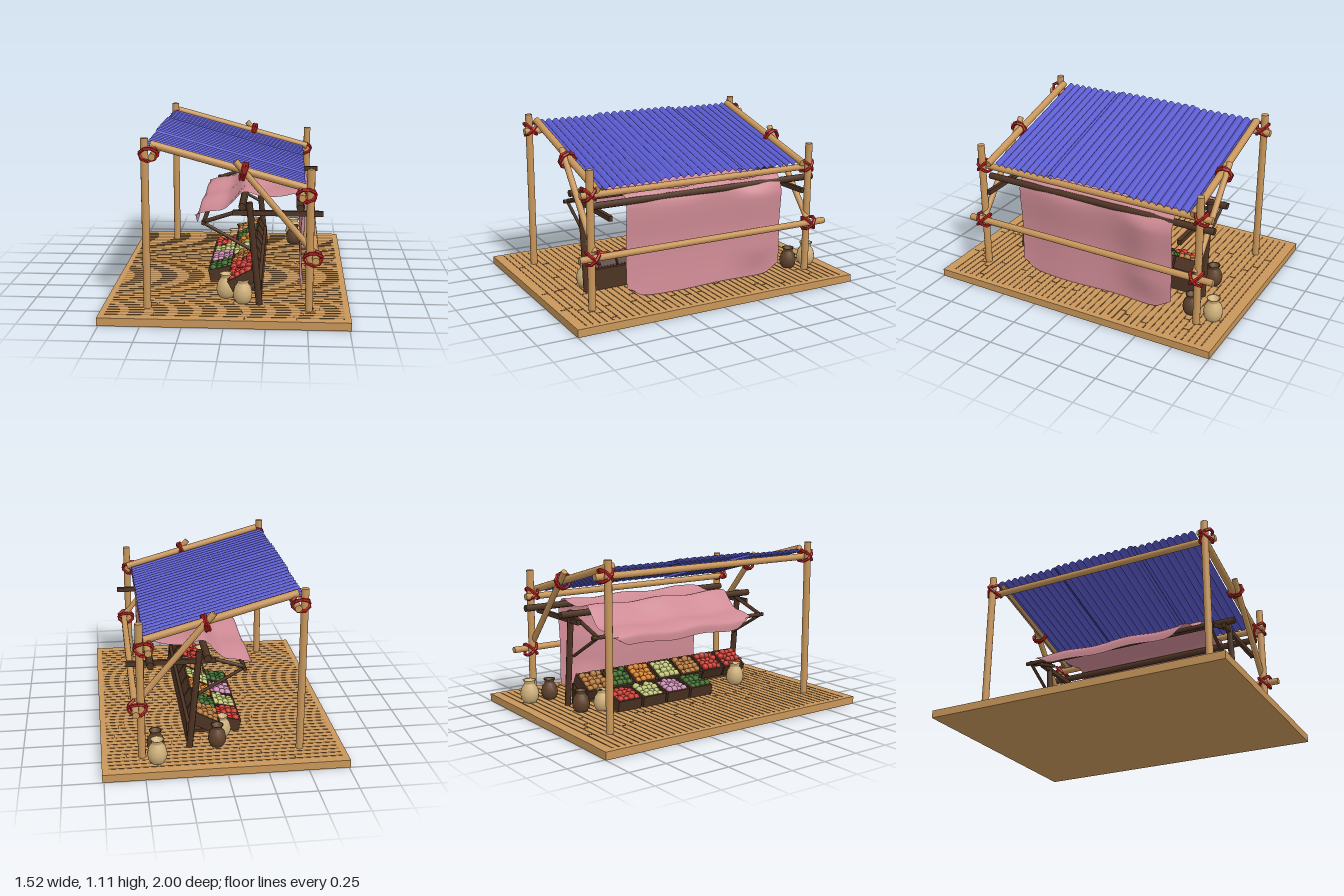
import * as THREE from 'three';
import { toCreasedNormals } from 'three/addons/utils/BufferGeometryUtils.js';

const mat = (color, extra = {}) => new THREE.MeshStandardMaterial({ color, ...extra });
const V = (x, y, z) => new THREE.Vector3(x, y, z);

export function createModel() {
  const root = new THREE.Group();
  const wood = mat(0xc8965a), darkWood = mat(0x4d3323), groove = mat(0x7d5832);
  const rope = mat(0xb81f1f, { flatShading: true });
  const blue = mat(0x5a5ace, { side: THREE.DoubleSide });
  const pink = mat(0xcf8b95, { side: THREE.DoubleSide });
  const sackMat = mat(0xcfb07a), potMat = mat(0x5f422c);
  let seed = 7;
  const rand = () => (seed = (seed * 16807) % 2147483647) / 2147483647;

  const add = (name, geo, m, parent = root) => {
    const mesh = new THREE.Mesh(geo, m);
    mesh.name = name;
    parent.add(mesh);
    return mesh;
  };
  const box = (name, w, h, d, x, y, z, m, parent) => {
    const b = add(name, new THREE.BoxGeometry(w, h, d), m, parent);
    b.position.set(x, y, z);
    return b;
  };
  // round pole between two points
  const pole = (name, a, b, r, m, sides = 12) => {
    const p = add(name, new THREE.CylinderGeometry(r, r, a.distanceTo(b), sides), m);
    p.position.copy(a).lerp(b, 0.5);
    p.quaternion.setFromUnitVectors(V(0, 1, 0), b.clone().sub(a).normalize());
    return p;
  };
  // surface from a rule (u, v) -> point
  const surface = (nu, nv, rule) => {
    const g = new THREE.PlaneGeometry(1, 1, nu, nv), p = g.attributes.position, uv = g.attributes.uv;
    for (let i = 0; i < p.count; i++) {
      const q = rule(uv.getX(i), uv.getY(i));
      p.setXYZ(i, q.x, q.y, q.z);
    }
    g.computeVertexNormals();
    return g;
  };

  // Plank floor with thin seams
  box('floor', 1.52, 0.05, 2, 0, 0.025, 0, wood);
  const seams = new THREE.Group();
  seams.name = 'floorSeams';
  root.add(seams);
  for (let i = 0; i < 43; i++) {
    const z = -0.93 + i * 0.0443;
    let x = -0.73;
    while (x < 0.7) {
      const end = Math.min(0.73, x + 0.3 + rand() * 0.6);
      box('seam', end - x - 0.015, 0.003, 0.008, (x + end) / 2, 0.0505, z, groove, seams);
      if (end < 0.7) box('plankEnd', 0.007, 0.003, 0.044, end, 0.0505, z + 0.022, groove, seams);
      x = end;
    }
  }

  // Rope lashing: two rings with the given axes
  const lashing = (x, y, z, axes, r) => {
    const g = new THREE.Group();
    g.name = 'ropeLashing';
    g.position.set(x, y, z);
    axes.forEach((axis, i) => {
      const t = add('ropeRing', new THREE.TorusGeometry(r, 0.011, 5, 8), rope, g);
      t.quaternion.setFromUnitVectors(V(0, 0, 1), axis.normalize());
      t.rotateZ(i * 0.35);
    });
    root.add(g);
  };

  // Main pole frame, mirrored front and back
  for (const s of [-1, 1]) {
    pole('tallPost', V(-0.48, 0.05, s * 0.797), V(-0.48, 1.105, s * 0.797), 0.024, wood);
    pole('shortPost', V(0.51, 0.05, s * 0.797), V(0.51, 0.93, s * 0.797), 0.024, wood);
    pole('slopedBeam', V(-0.45, 1.062, s * 0.752), V(0.51, 0.799, s * 0.752), 0.024, wood);
    pole('diagonalBrace', V(0.06, 0.97, s * 0.785), V(0.53, 0.42, s * 0.785), 0.02, wood);
    for (const [x, y] of [[-0.455, 1.01], [0.485, 0.775], [0.53, 0.385]])
      lashing(x, y, s * 0.797, [V(0, 1, 1), V(0, 1, -1)], 0.055);
    lashing(0.11, 0.905, s * 0.77, [V(1, -0.1, 0.1), V(1, -0.45, -0.2)], 0.052);
  }
  pole('rearPurlin', V(-0.43, 1.0, -0.86), V(-0.43, 1.0, 0.85), 0.022, wood);
  pole('frontPurlin', V(0.46, 0.76, -0.86), V(0.46, 0.76, 0.84), 0.022, wood);
  pole('sideRail', V(0.545, 0.39, -0.915), V(0.545, 0.39, 0.89), 0.022, wood);

  // Corrugated roof in three sheets, the middle one overlapping
  for (const [z0, z1, lift, ridges] of [[-0.75, -0.28, 0, 9], [-0.3, 0.3, 0.01, 11], [0.28, 0.73, 0, 9]]) {
    const g = surface(1, ridges * 6, (u, v) => {
      const x = -0.48 + 0.96 * u;
      const bump = 0.02 * Math.abs(Math.sin(v * ridges * Math.PI));
      return V(x, 0.913 - 0.274 * x + lift + bump, z0 + (z1 - z0) * v);
    });
    add('roofSheet', toCreasedNormals(g, 0.8), blue);
  }

  // Dark inner frame
  for (const s of [-1, 1]) {
    const z = s * 0.7;
    pole('stallPost', V(0.205, 0.05, z), V(0.14, 0.7, z), 0.021, darkWood, 8);
    box('sideBeam', 0.55, 0.032, 0.025, 0.315, 0.635, z, darkWood);
    pole('awningArm', V(-0.15, 0.565, z * 0.96), V(0.16, 0.665, z * 0.96), 0.013, darkWood, 8);
    pole('awningStrut', V(-0.14, 0.56, z * 0.96), V(0.16, 0.39, z * 0.96), 0.011, darkWood, 8);
  }
  pole('backCrossbeam', V(0.45, 0.685, -0.87), V(0.45, 0.685, 0.78), 0.023, darkWood, 8);
  pole('middleCrossbeam', V(0.1, 0.685, -0.8), V(0.1, 0.685, 0.76), 0.023, darkWood, 8);
  pole('awningBar', V(-0.14, 0.565, -0.71), V(-0.14, 0.565, 0.7), 0.014, darkWood, 8);

  // Draped cloth: awning over the frame, then a hanging wall
  const profile = new THREE.CatmullRomCurve3([
    [-0.205, 0.5], [-0.2, 0.565], [-0.13, 0.59], [-0.03, 0.605], [0.03, 0.655], [0.1, 0.722], [0.22, 0.695],
    [0.34, 0.705], [0.43, 0.722], [0.468, 0.67], [0.458, 0.4], [0.462, 0.2], [0.472, 0.055],
  ].map(([x, y]) => V(x, y, 0)));
  add('drapedCloth', surface(70, 40, (u, v) => {
    const p = profile.getPointAt(u), t = 2 * v - 1;
    const edge = Math.min(u, 1 - u) / 0.05;
    const half = 0.568 - 0.045 * Math.pow(Math.max(0, 1 - edge), 2);
    const z = -0.033 + half * t;
    const wall = THREE.MathUtils.smoothstep(u, 0.52, 0.62);
    const fade = 1 - THREE.MathUtils.smoothstep(u, 0.85, 1);
    p.x += wall * (0.008 * Math.sin(z * 9) + 0.035 * fade * Math.exp(-Math.pow((z + 0.42) / 0.16, 2)));
    p.y += (1 - wall) * 0.008 * Math.sin(z * 13 + u * 6);
    // soft corners
    p.y += (u > 0.5 ? 1 : 1.4) * 0.05 * Math.pow(Math.abs(t), 14) * Math.max(0, 1 - edge);
    return V(p.x, p.y, z);
  }), pink);

  // Open crate of produce
  const berry = new THREE.IcosahedronGeometry(1, 1);
  const crate = (x, y, z, tilt, color) => {
    const g = new THREE.Group();
    g.name = 'produceCrate';
    const w = 0.17, d = 0.178, h = 0.075;
    box('crateBottom', w, 0.012, d, 0, -h / 2, 0, darkWood, g);
    for (const s of [-1, 1]) {
      box('crateEnd', 0.012, h, d, s * w / 2, 0, 0, darkWood, g);
      box('crateSide', w, h, 0.012, 0, 0, s * (d - 0.012) / 2, darkWood, g);
    }
    const m = mat(color);
    for (let i = 0; i < 4; i++) for (let j = 0; j < 4; j++) {
      const f = add('produce', berry, m, g);
      f.position.set((i - 1.5) * 0.038, 0.022 + rand() * 0.022, (j - 1.5) * 0.039 + (rand() - 0.5) * 0.008);
      f.scale.setScalar(0.021 + rand() * 0.004);
    }
    g.position.set(x, y, z);
    g.rotation.z = tilt;
    root.add(g);
  };
  const red = 0xc83a30, green = 0x3f6b2c, lime = 0xc3c878, orange = 0xd9822b, tan = 0xb87a3c, mauve = 0xcf8fb5;
  [tan, green, orange, lime, tan, red, red].forEach((c, i) => crate(0.1, 0.19, -0.57 + i * 0.19, 0.5, c));
  [red, lime, mauve, green].forEach((c, i) => crate(-0.055, 0.105, -0.43 + i * 0.195, 0.22, c));
  // Stand under the upper crates
  box('standBack', 0.025, 0.14, 1.32, 0.205, 0.12, 0, darkWood);
  box('standShelf', 0.14, 0.02, 1.3, 0.13, 0.13, 0, darkWood);
  for (const z of [-0.64, 0, 0.64]) box('standLeg', 0.025, 0.09, 0.025, 0.06, 0.095, z, darkWood);

  // Sacks and pots on the floor
  const jar = (name, x, z, s, m) => {
    const pts = [[0, 0], [0.042, 0], [0.058, 0.025], [0.063, 0.06], [0.054, 0.1], [0.036, 0.125],
      [0.034, 0.135], [0.045, 0.155], [0.036, 0.152], [0.028, 0.13], [0, 0.125]];
    const j = add(name, new THREE.LatheGeometry(pts.map(([a, b]) => new THREE.Vector2(a, b)), 14), m);
    j.position.set(x, 0.05, z);
    j.scale.setScalar(s);
  };
  jar('sack', -0.01, 0.56, 1, sackMat);
  jar('sack', 0.1, 0.66, 0.98, sackMat);
  jar('sack', -0.02, -0.57, 0.9, sackMat);
  jar('sack', 0.42, -0.87, 1, sackMat);
  jar('pot', 0.03, -0.7, 0.92, potMat);
  jar('pot', 0.42, -0.72, 0.9, potMat);
  return root;
}
